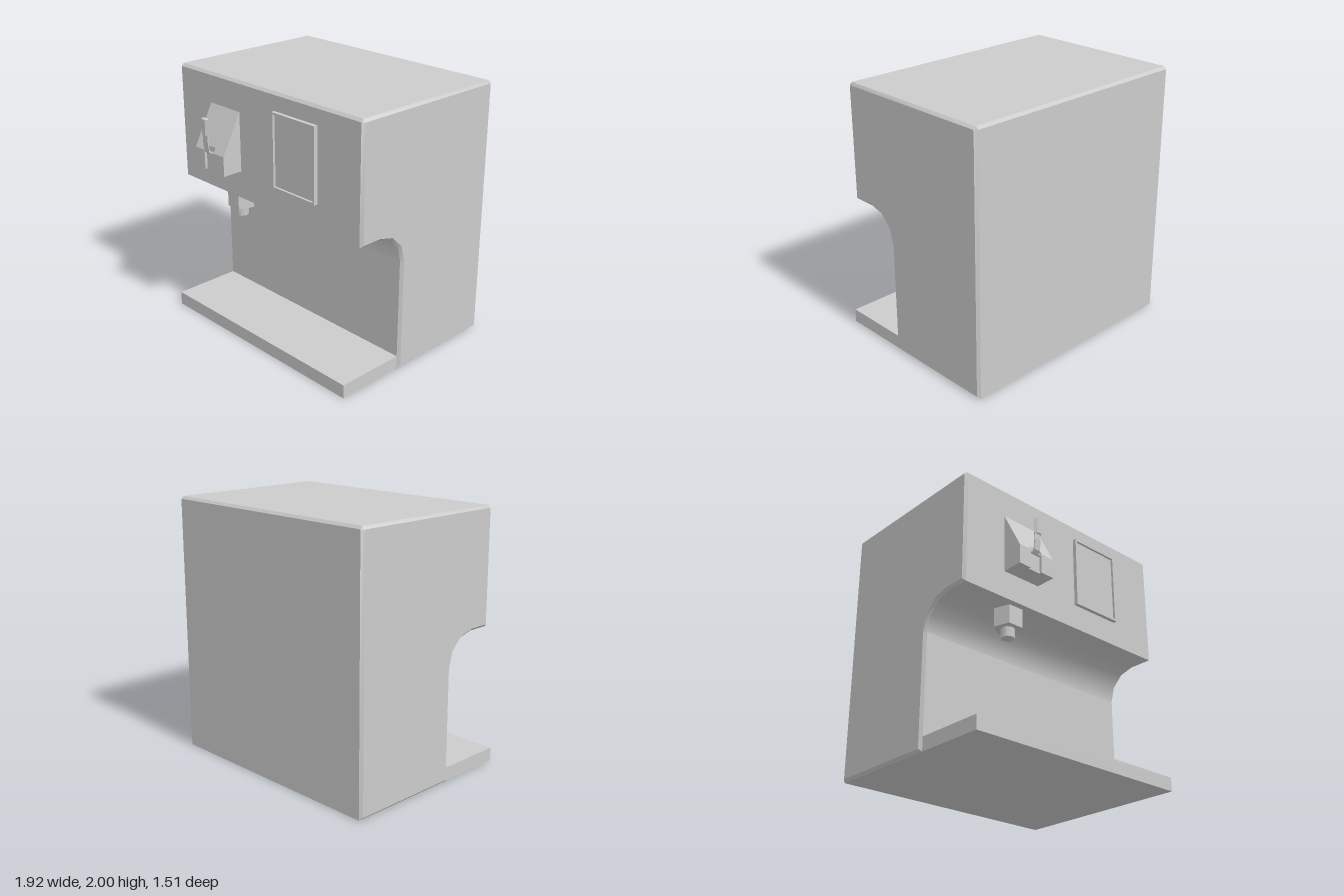
import * as THREE from 'three';
import { toCreasedNormals } from 'three/addons/utils/BufferGeometryUtils.js';

const material = new THREE.MeshStandardMaterial({ color: 0xcccccc });
const flatMaterial = new THREE.MeshStandardMaterial({ color: 0xcccccc, flatShading: true });

function add(parent, name, geometry, x = 0, y = 0, z = 0, mat = material) {
  const mesh = new THREE.Mesh(geometry, mat);
  mesh.name = name;
  mesh.position.set(x, y, z);
  parent.add(mesh);
  return mesh;
}

// Box given by its limits on each axis
function addBox(parent, name, [x0, x1], [y0, y1], [z0, z1]) {
  return add(parent, name, new THREE.BoxGeometry(x1 - x0, y1 - y0, z1 - z0),
    (x0 + x1) / 2, (y0 + y1) / 2, (z0 + z1) / 2);
}

// Side profile of [z, y] points, extruded across x and centred on x = 0
function sideExtrude(points, width, bevel = 0) {
  const shape = new THREE.Shape(points.map(([z, y]) => new THREE.Vector2(z, y)));
  const depth = width - 2 * bevel;
  const geometry = new THREE.ExtrudeGeometry(shape, {
    depth, bevelEnabled: bevel > 0, bevelThickness: bevel,
    bevelSize: bevel, bevelOffset: -bevel, bevelSegments: 1,
  });
  return geometry.translate(0, 0, -depth / 2).rotateY(-Math.PI / 2);
}

function rectangle(Type, x0, x1, y0, y1) {
  return new Type([[x0, y0], [x1, y0], [x1, y1], [x0, y1]].map(p => new THREE.Vector2(...p)));
}

export function createModel() {
  const model = new THREE.Group();
  model.name = 'drinkDispenser';

  // Body: overhanging head joined to the back column by a three-step cove
  const cove = [];
  for (let i = 0; i <= 3; i++) {
    const a = (i / 3) * Math.PI / 2;
    cove.push([0.38 - 0.23 * Math.cos(a), 0.875 + 0.23 * Math.sin(a)]);
  }
  const profile = [
    [-0.755, 0], [0.15, 0], [0.15, 0.865], ...cove, [0.39, 1.105],
    [0.56, 1.105], [0.56, 1.98], [0.54, 2], [-0.735, 2], [-0.755, 1.98],
  ];
  add(model, 'body', toCreasedNormals(sideExtrude(profile, 1.92, 0.02), 0.6));

  // Base tray
  addBox(model, 'baseTray', [-0.94, 0.94], [0, 0.105], [0.13, 0.695]);

  // Screen: raised frame around a recessed panel
  const frame = rectangle(THREE.Shape, 0.11, 0.54, 1.3, 1.865);
  frame.holes.push(rectangle(THREE.Path, 0.125, 0.525, 1.315, 1.85));
  add(model, 'screenFrame',
    new THREE.ExtrudeGeometry(frame, { depth: 0.04, bevelEnabled: false }), 0, 0, 0.55);
  addBox(model, 'screenPanel', [0.12, 0.53], [1.31, 1.855], [0.55, 0.572]);

  // Lever housing: two sloped cheeks with a shallow slot between them
  const housing = new THREE.Group();
  housing.name = 'leverHousing';
  model.add(housing);
  const cheek = [[0.55, 1.315], [0.72, 1.315], [0.72, 1.465], [0.56, 1.77], [0.55, 1.77]];
  const middle = [[0.55, 1.315], [0.7, 1.315], [0.7, 1.503], [0.56, 1.77], [0.55, 1.77]];
  add(housing, 'rightCheek', sideExtrude(cheek, 0.105), -0.5425);
  add(housing, 'leftCheek', sideExtrude(cheek, 0.115), -0.3275);
  add(housing, 'slotBack', sideExtrude(middle, 0.105), -0.4375);

  // Lever: hinge pin, bent strip and six-sided handle
  const lever = new THREE.Group();
  lever.name = 'lever';
  model.add(lever);
  const pin = new THREE.CylinderGeometry(0.01, 0.01, 0.105, 8).rotateZ(Math.PI / 2);
  add(lever, 'hingePin', pin, -0.4375, 1.455, 0.708);
  const strip = [
    [0.7, 1.452], [0.722, 1.452], [0.735, 1.47], [0.745, 1.55], [0.745, 1.61],
    [0.737, 1.61], [0.737, 1.55], [0.728, 1.475], [0.718, 1.46], [0.7, 1.46],
  ];
  add(lever, 'leverStrip', sideExtrude(strip, 0.055), -0.4425);
  const handle = new THREE.CylinderGeometry(0.036, 0.036, 0.12, 6)
    .rotateY(Math.PI / 6).scale(1, 1, 0.6);
  add(lever, 'leverHandle', handle, -0.44, 1.66, 0.739, flatMaterial);

  // Nozzle: five-sided collar with a round spout below
  const collar = new THREE.CylinderGeometry(0.105, 0.105, 0.16, 5).rotateY(Math.PI);
  add(model, 'nozzleCollar', collar, -0.44, 1.04, 0.425, flatMaterial);
  add(model, 'nozzleSpout', new THREE.CylinderGeometry(0.05, 0.05, 0.08, 8), -0.44, 0.925, 0.425);

  return model;
}
